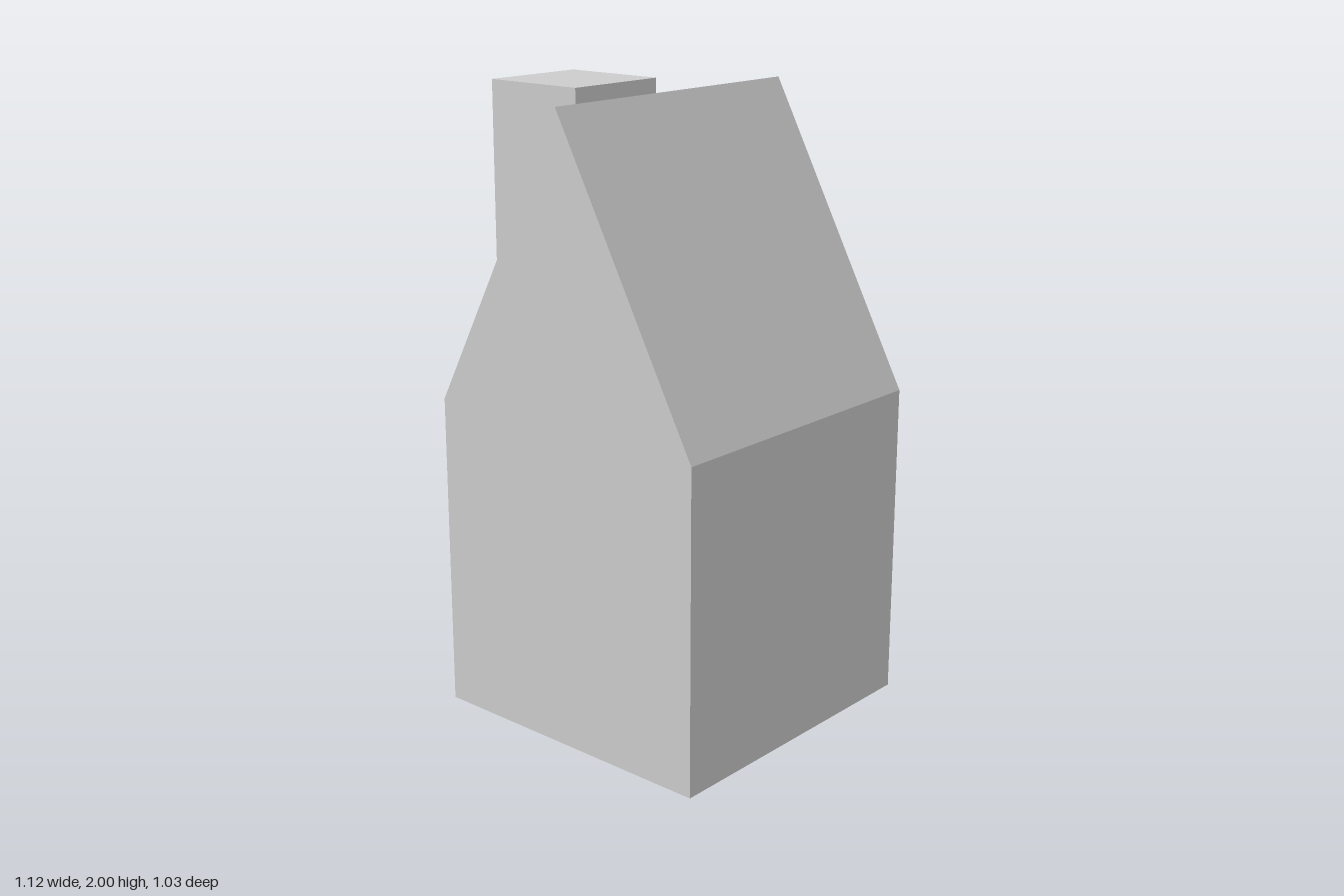
import * as THREE from 'three';

const material = new THREE.MeshStandardMaterial({ color: 0xcccccc, flatShading: true });

// Extrudes an x/y outline along z, centred on z = 0
function prism(name, points, depth) {
  const shape = new THREE.Shape(points.map(([x, y]) => new THREE.Vector2(x, y)));
  const geometry = new THREE.ExtrudeGeometry(shape, { depth, bevelEnabled: false });
  geometry.translate(0, 0, -depth / 2);
  const mesh = new THREE.Mesh(geometry, material);
  mesh.name = name;
  return mesh;
}

export function createModel() {
  const model = new THREE.Group();
  model.name = 'house';

  // Walls and steep gable roof as one solid
  model.add(prism('houseBody', [
    [-0.467, 0], [0.558, 0], [0.558, 1.035], [0.045, 1.994], [-0.467, 1.035],
  ], 1.028));

  // Chimney with a pointed foot sunk into the roof
  model.add(prism('chimney', [
    [-0.377, 1.077], [-0.193, 1.422], [-0.193, 2], [-0.56, 2], [-0.56, 1.422],
  ], 0.37));

  return model;
}
